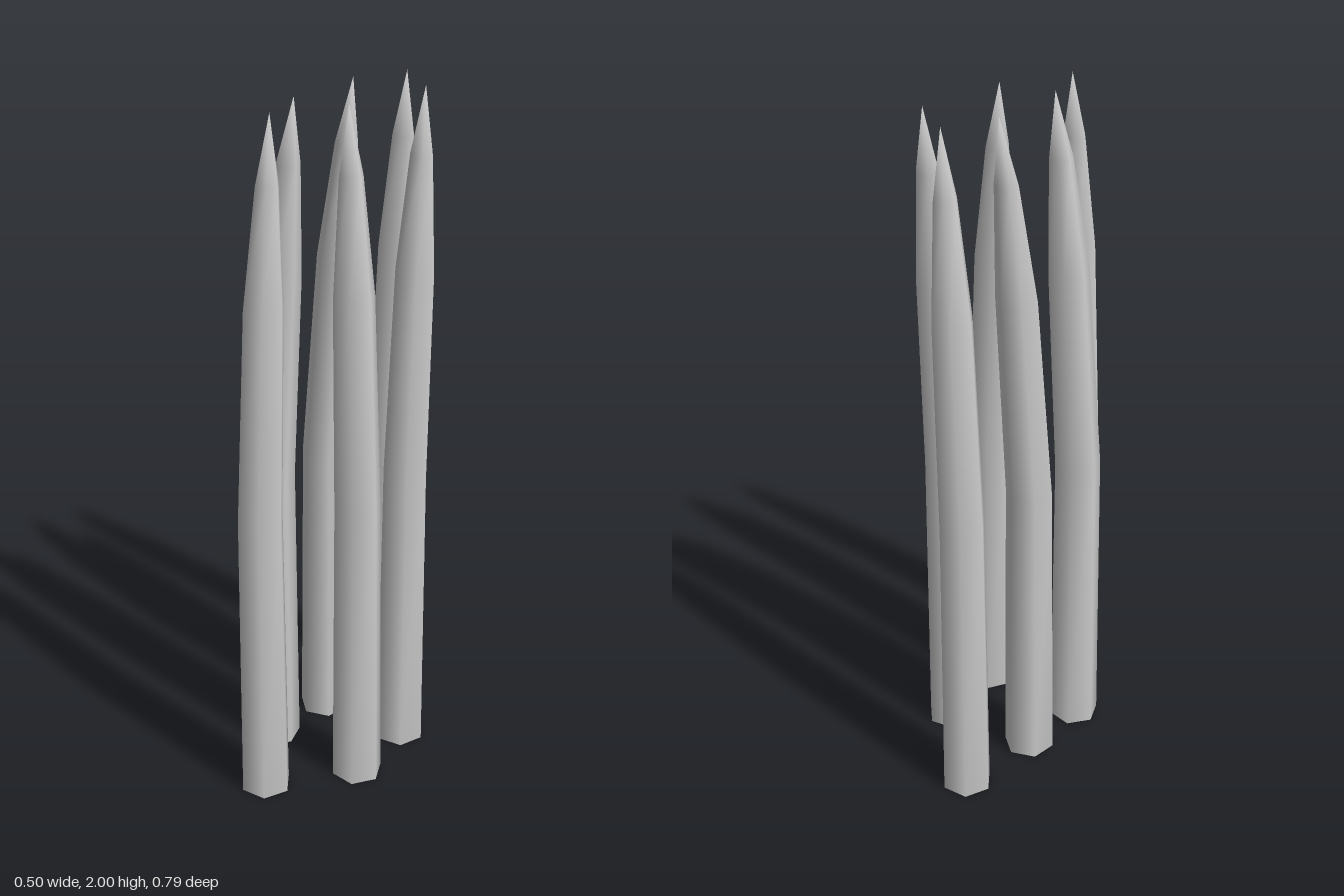
import * as THREE from 'three';

const SIDES = 6;
// Cross-sections: height, sideways lean of the centre, radius
const RINGS = [
  [0, 0, 0.075],
  [0.9, 0.005, 0.067],
  [1.5, 0.042, 0.058],
  [1.82, 0.069, 0.033],
];
const TIP = [0.087, 2, 0];

// One curved six-sided spike leaning towards +x, smooth all over
function spikeGeometry() {
  const pos = [];
  const index = [];
  for (const [y, lean, r] of RINGS) {
    for (let k = 0; k < SIDES; k++) {
      const a = ((k + 0.5) / SIDES) * Math.PI * 2;
      pos.push(lean + Math.cos(a) * r, y, Math.sin(a) * r);
    }
  }
  const tip = pos.length / 3;
  const base = tip + 1;
  pos.push(...TIP, 0, 0, 0);
  const last = RINGS.length - 1;
  for (let k = 0; k < SIDES; k++) {
    const n = (k + 1) % SIDES;
    for (let i = 0; i < last; i++) {
      const a = i * SIDES + k, b = i * SIDES + n;
      index.push(a, a + SIDES, b, b, a + SIDES, b + SIDES);
    }
    index.push(last * SIDES + k, tip, last * SIDES + n); // point
    index.push(base, k, n); // underside
  }
  const g = new THREE.BufferGeometry();
  g.setAttribute('position', new THREE.Float32BufferAttribute(pos, 3));
  g.setIndex(index);
  g.computeVertexNormals();
  return g;
}

export function createModel() {
  const model = new THREE.Group();
  model.name = 'spikeCluster';
  const geometry = spikeGeometry();
  const material = new THREE.MeshStandardMaterial({ color: 0xcccccc });

  // Spikes: x, z, lean direction in degrees (from +x towards +z)
  const spikes = [
    [-0.185, 0.08, 0],
    [0.037, -0.325, 46],
    [-0.092, -0.107, -30],
    [0.175, -0.044, -81],
    [0.111, 0.175, -127],
    [-0.122, 0.323, -77],
  ];
  spikes.forEach(([x, z, deg], i) => {
    const spike = new THREE.Mesh(geometry, material);
    spike.name = `spike${i + 1}`;
    spike.position.set(x, 0, z);
    spike.rotation.y = -THREE.MathUtils.degToRad(deg);
    model.add(spike);
  });
  return model;
}
